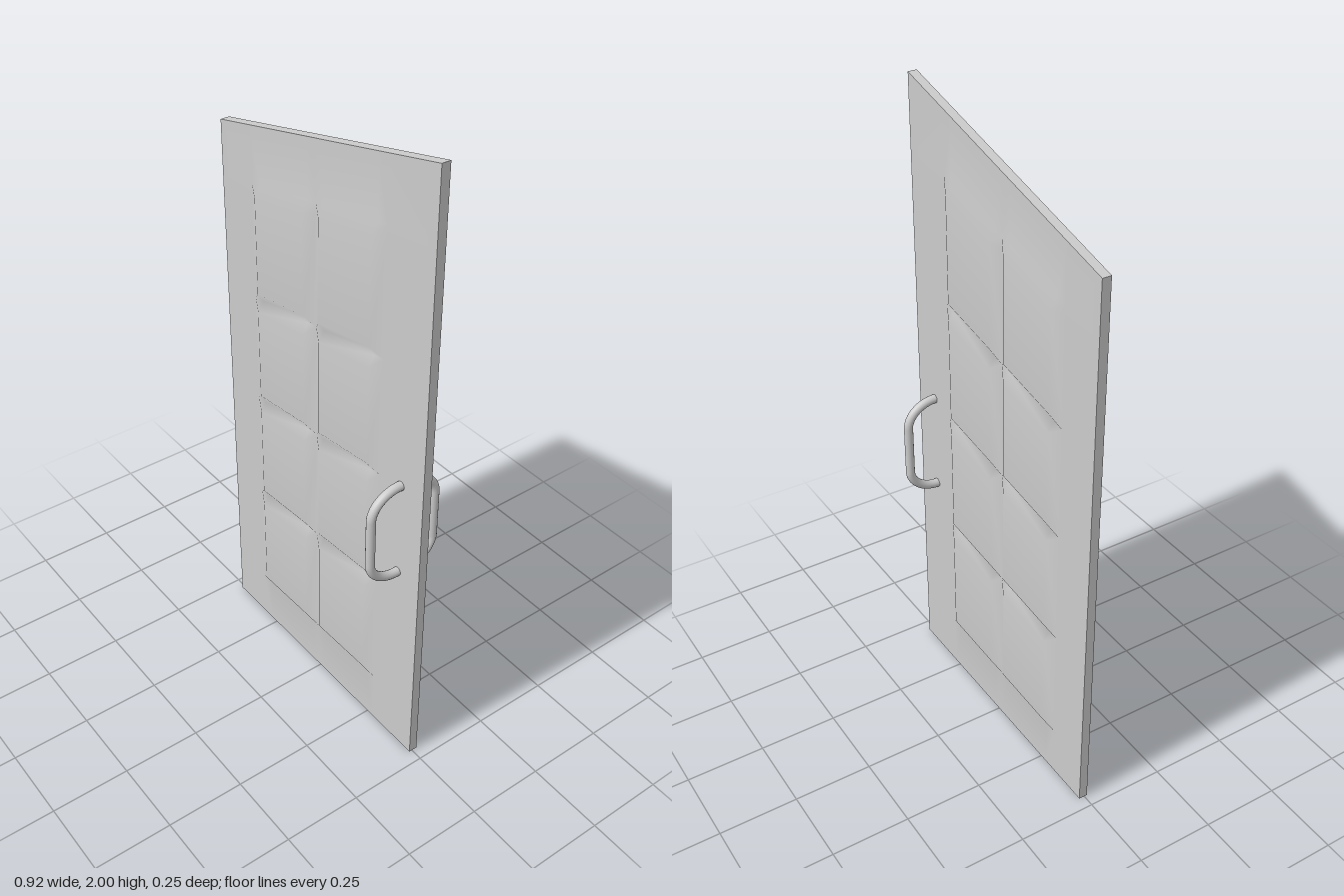
import * as THREE from 'three';

const SLAB = 0.014, RAISED = 0.033, MID_Z = -0.004;
const material = new THREE.MeshStandardMaterial({ color: 0xcccccc });

// Height of the slanted top edge at a given x
const topAt = (x) => 1.886 + 0.248 * x;

// Grid lines of the bevelled panels: each panel has an outer and an inner line per side
const xs = [-0.46, -0.314, -0.275, -0.055, -0.018, 0.018, 0.238, 0.277, 0.46];
const ts = [0];
const rows = [0.091, 0.298, 0.502, 0.7, 0.903], bevel = 0.017;
rows.forEach((t, i) => {
  if (i > 0) ts.push(t - bevel);
  ts.push(t);
  if (i < rows.length - 1) ts.push(t + bevel);
});
ts.push(1);

// One face of the door with its 2 x 4 raised panels, smooth shaded
function panelFace(side) {
  const pos = [], index = [], nx = xs.length, ny = ts.length;
  const raised = (i, j) =>
    [2, 3, 5, 6].includes(i) && j > 1 && j < ny - 2 && (j - 1) % 3 !== 0;
  for (let j = 0; j < ny; j++) {
    for (let i = 0; i < nx; i++) {
      const z = raised(i, j) ? RAISED : SLAB;
      pos.push(xs[i], ts[j] * topAt(xs[i]), MID_Z + side * z);
    }
  }
  const tri = (a, b, c) => (side > 0 ? index.push(a, b, c) : index.push(a, c, b));
  for (let j = 0; j < ny - 1; j++) {
    for (let i = 0; i < nx - 1; i++) {
      const a = j * nx + i, b = a + 1, d = a + nx, c = d + 1;
      // Split corner cells along the mitre
      if (raised(i, j) !== raised(i + 1, j + 1)) {
        tri(a, b, c); tri(a, c, d);
      } else {
        tri(a, b, d); tri(b, c, d);
      }
    }
  }
  const g = new THREE.BufferGeometry();
  g.setAttribute('position', new THREE.Float32BufferAttribute(pos, 3));
  g.setIndex(index);
  g.computeVertexNormals();
  return g;
}

// The four narrow edges of the slab, with the top slanted
function slabEdges() {
  const g = new THREE.BoxGeometry(0.92, 1, SLAB * 2);
  g.setIndex(Array.from(g.index.array).slice(0, 24));
  g.clearGroups();
  const p = g.attributes.position;
  for (let i = 0; i < p.count; i++) {
    p.setY(i, (p.getY(i) + 0.5) * topAt(p.getX(i)));
    p.setZ(i, p.getZ(i) + MID_Z);
  }
  g.computeVertexNormals();
  return g;
}

// C-shaped pull handle: two rounded corners joined by a straight grip
function handle(side) {
  const v = (y, z) => new THREE.Vector3(0.367, 0.847 + y, -0.001 + side * z);
  const path = new THREE.CurvePath();
  const R = 0.157, Z = 0.113, k = 0.09;
  path.add(new THREE.LineCurve3(v(R, 0), v(R, 0.02)));
  path.add(new THREE.CubicBezierCurve3(v(R, 0.02), v(R, 0.072), v(k + 0.03, Z), v(k - 0.01, Z)));
  path.add(new THREE.LineCurve3(v(k - 0.01, Z), v(0.01 - k, Z)));
  path.add(new THREE.CubicBezierCurve3(v(0.01 - k, Z), v(-k - 0.03, Z), v(-R, 0.072), v(-R, 0.02)));
  path.add(new THREE.LineCurve3(v(-R, 0.02), v(-R, 0)));
  return new THREE.TubeGeometry(path, 64, 0.014, 16, false);
}

export function createModel() {
  const model = new THREE.Group();
  model.name = 'door';
  const add = (name, geometry) => {
    const mesh = new THREE.Mesh(geometry, material);
    mesh.name = name;
    model.add(mesh);
  };
  add('slabEdges', slabEdges());
  for (const [name, side] of [['front', 1], ['back', -1]]) {
    add(name + 'PanelFace', panelFace(side));
    add(name + 'Handle', handle(side));
  }
  return model;
}
